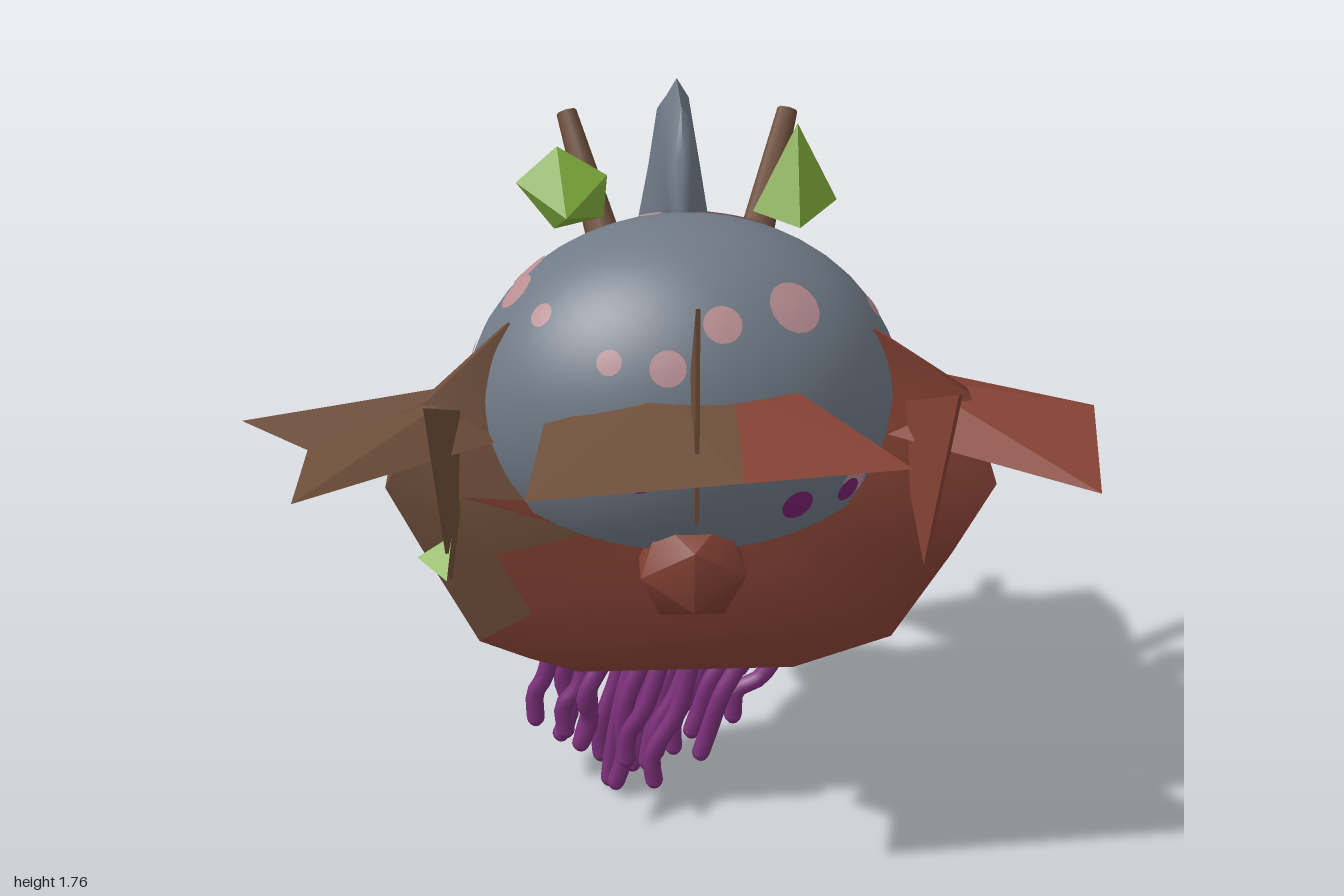
import * as THREE from 'three';
import { toCreasedNormals } from 'three/addons/utils/BufferGeometryUtils.js';
import { ConvexGeometry } from 'three/addons/geometries/ConvexGeometry.js';

const V = (x, y, z) => new THREE.Vector3(x, y, z);

export function createModel() {
  const root = new THREE.Group();
  const mat = (name, color) =>
    Object.assign(new THREE.MeshStandardMaterial({ color, side: THREE.DoubleSide }), { name });
  const brown = mat('bark brown', 0x6e4e3a), rust = mat('rust', 0x844134);
  const grey = mat('slate grey', 0x707a86), spotPink = mat('spot pink', 0xb98e92);
  const skin = mat('skin pink', 0xb8637c), purple = mat('tentacle purple', 0x7c307a);
  const magenta = mat('dark magenta', 0x7a2270), green = mat('leaf green', 0x80ac3c);
  const crimson = mat('crimson', 0x9c2040);

  const add = (name, geo, material, parent = root) => {
    const m = new THREE.Mesh(geo, material);
    m.name = name;
    parent.add(m);
    return m;
  };
  const hullOf = (name, pts, m) => add(name, new ConvexGeometry(pts.map(p => V(...p))), m);
  // blade: points thickened sideways, each by its own half width
  const blade = (name, pts, m) =>
    hullOf(name, pts.flatMap(([x, y, z, t]) => [[x - t, y, z], [x + t, y, z]]), m);
  const stick = (name, a, b, ra, rb, m, sides = 7) => {
    const d = b.clone().sub(a);
    const s = add(name, new THREE.CylinderGeometry(rb, ra, d.length(), sides), m);
    s.position.copy(a).addScaledVector(d, 0.5);
    s.quaternion.setFromUnitVectors(V(0, 1, 0), d.normalize());
  };
  // triangles joining closed rings, with fans on both ends
  const loft = rings => {
    const tris = [], n = rings[0].length;
    for (let r = 0; r < rings.length - 1; r++)
      for (let i = 0; i < n; i++) {
        const j = (i + 1) % n, A = rings[r], B = rings[r + 1];
        tris.push([A[i], A[j], B[j]], [A[i], B[j], B[i]]);
      }
    [rings[0], rings[rings.length - 1]].forEach((ring, e) => {
      const c = ring.reduce((s, p) => s.add(p), V(0, 0, 0)).divideScalar(n);
      ring.forEach((p, i) => {
        const q = ring[(i + 1) % n];
        tris.push(e ? [p, q, c] : [q, p, c]);
      });
    });
    return tris;
  };
  const fromTris = (tris, crease) =>
    toCreasedNormals(new THREE.BufferGeometry().setFromPoints(tris.flat()), crease);

  // shell body: a broad bevelled slab, thin towards the top, brown on one flank
  const outline = [[-.23, .44], [.3, .44], [.54, .52], [.68, .74], [.78, .92], [.71, 1.14], [.48, 1.3],
    [.2, 1.34], [-.15, 1.34], [-.38, 1.33], [-.58, 1.14], [-.68, .94], [-.58, .74], [-.47, .53], [-.35, .48]];
  const levels = [[.01, .35], [.025, .7], [.1, 1], [.23, 1], [.275, .75], [.285, .4]];
  const shell = loft(levels.map(([z, s]) => outline.map(([ox, oy]) => {
    const y = .9 + (oy - .9) * s;
    const k = THREE.MathUtils.clamp(1 - (y - .95) / .3, .15, 1);
    return V(.05 + (ox - .05) * s, y, .18 + (z - .18) * k);
  })));
  const isLeft = t => {
    const c = t[0].clone().add(t[1]).add(t[2]).divideScalar(3);
    return c.z < .1 ? c.x < -.17 : c.x < -.33 && c.y > .58;
  };
  add('shellBody', fromTris(shell.filter(t => !isLeft(t)), 0.9), rust);
  add('shellFlank', fromTris(shell.filter(isLeft), 0.9), brown);

  // mushroom cap, tilted forward, with drooping rim, lip and pleated gills
  const C = V(.04, 1.075, .035), S = V(.53, .48, .43), tilt = 0.49, X = V(1, 0, 0);
  const cap = new THREE.Group();
  cap.name = 'cap';
  cap.position.copy(C);
  cap.rotation.x = tilt;
  root.add(cap);
  add('capDome', new THREE.SphereGeometry(1, 40, 18, 0, Math.PI * 2, 0, Math.PI * .53), grey, cap).scale.copy(S);
  const lip = new THREE.LatheGeometry([[.9956, -.094], [.975, -.1], [.94, -.06]].map(p => new THREE.Vector2(...p)), 40);
  add('capLip', lip, grey, cap).scale.copy(S);
  const gills = new THREE.SphereGeometry(1, 64, 6, 0, Math.PI * 2, 0, Math.PI / 2);
  const gp = gills.attributes.position;
  for (let i = 0; i < gp.count; i++) if (i % 65 % 2) gp.setY(i, gp.getY(i) * 1.25 + 0.06);
  gills.scale(.955 * S.x, .22, .955 * S.z);
  gills.translate(0, -.035, 0);
  add('gills', toCreasedNormals(gills, 0.3), purple, cap);

  // round spots laid on the dome along a viewing axis
  const spot = (o, d, r, m, lift = 1.007) => {
    const toUnit = v => v.applyAxisAngle(X, -tilt).divide(S);
    const a = toUnit(o.sub(C)), b = toUnit(d);
    const A = b.dot(b), B = a.dot(b), D = Math.max(0, B * B - A * (a.dot(a) - 1));
    const hit = a.addScaledVector(b, (-B - Math.sqrt(D)) / A).normalize();
    const n = hit.clone().divide(S).normalize(), p = hit.clone().multiply(S);
    const t = V(0.3, 0.2, 1).cross(n).normalize(), u = n.clone().cross(t);
    const geo = new THREE.RingGeometry(0, r, 16, 3), q = geo.attributes.position;
    for (let i = 0; i < q.count; i++) {
      const v = p.clone().addScaledVector(t, q.getX(i)).addScaledVector(u, q.getY(i))
        .divide(S).normalize().multiply(S).multiplyScalar(lift);
      q.setXYZ(i, v.x, v.y, v.z);
    }
    geo.computeVertexNormals();
    add('capSpot', geo, m, cap);
  };
  for (const [x, y, r] of [[-.15, 1.305, .03], [-.02, 1.3, .042], [.105, 1.385, .045], [.275, 1.4, .065],
    [-.3, 1.37, .03], [-.095, 1.07, .05], [.42, .97, .04], [.28, 1.19, .03]]) spot(V(x, y, 5), V(0, 0, -1), r, spotPink);
  for (const [x, y, r] of [[-.09, 1.045, .038], [.28, .95, .04], [.19, 1.05, .015], [.405, .955, .032]])
    spot(V(x, y, 5), V(0, 0, -1), r, magenta, 1.011);
  for (const [x, z, r] of [[.16, -.1, .095], [-.33, .02, .05], [-.36, .1, .05], [-.04, -.01, .03],
    [-.2, -.18, .08]]) spot(V(x, 5, z), V(0, -1, 0), r, spotPink);
  for (const [z, y, r] of [[-.18, 1.3, .08], [.1, 1.33, .028], [-.01, 1.15, .02]])
    spot(V(5, y, z), V(-1, 0, 0), r, spotPink);
  for (const [z, y, r] of [[-.18, 1.3, .03], [.02, 1.2, .035]]) spot(V(-5, y, z), V(1, 0, 0), r, spotPink);

  // hooked crest: sections run from outer to inner edge, [zOut, yOut, zIn, yIn, halfWidth]
  const crest = [[0, 1.52, -.02, 1.46, .02], [-.07, 1.66, -.1, 1.44, .035], [-.14, 1.76, -.18, 1.4, .042],
    [-.35, 1.785, -.25, 1.3, .05], [-.55, 1.72, -.32, 1.18, .07], [-.58, 1.48, -.42, 1.06, .105],
    [-.66, 1.32, -.53, .98, .09], [-.67, 1, -.6, .88, .05], [-.672, .75, -.65, .74, .015]];
  add('crest', fromTris(loft(crest.map(([z0, y0, z1, y1, w]) =>
    Array.from({ length: 10 }, (_, i) => {
      const a = i / 10 * Math.PI * 2, k = (1 - Math.cos(a)) / 2;
      return V(.04 + Math.sin(a) * w, y0 + (y1 - y0) * k, z0 + (z1 - z0) * k);
    }))), 1.4), grey);
  add('crestTip', new THREE.SphereGeometry(.02, 10, 8), magenta).position.set(.04, .755, -.66);
  stick('crestTwig', V(.04, 1.26, -.58), V(.04, 1.34, -.75), .032, .03, rust);

  // head and face, looking backwards beneath the cap
  add('head', new THREE.SphereGeometry(.2, 28, 20), skin).position.set(.04, .915, 0);
  for (const s of [-1, 1]) {
    add('eye', new THREE.SphereGeometry(.055, 14, 10), brown).position.set(.04 + s * .08, 1.06, -.125);
    const lid = add('eyeRim', new THREE.TorusGeometry(.055, .009, 6, 16, Math.PI), rust);
    lid.position.set(.04 + s * .08, 1.055, -.155);
    lid.rotation.z = Math.PI;
    stick('tearMark', V(.04 + s * .07, .96, -.183), V(.04 + s * .07, .9, -.187), .008, .005, magenta);
  }
  add('mouth', new THREE.TubeGeometry(new THREE.CatmullRomCurve3(
    [V(-.06, .98, -.167), V(.04, .96, -.198), V(.14, .985, -.167)]), 12, .01, 6), rust);
  stick('noseTwig', V(.05, 1.02, -.17), V(.05, 1.15, -.38), .014, .008, brown);

  // tentacles fanning out of the head
  const count = 22;
  for (let i = 0; i < count; i++) {
    const a = i * 2.39996, r = Math.sqrt((i + .6) / count), c = Math.cos(a) * r, s = Math.sin(a) * r;
    const end = .075 + .19 * c * c + .06 * Math.max(0, s) + .045 * Math.sin(i * 5);
    const wave = .015 * Math.sin(i * 3);
    const path = new THREE.CatmullRomCurve3([
      V(.04 + c * .14, .8, c * .01 + s * .12), V(.03 + c * .18, .66, .01 + s * .125),
      V(-.01 + c * .3, .46, .05 + s * .15), V(-.06 + c * .3 + wave, .27 + end * .3, .055 + s * .155),
      V(-.09 + c * .27 - wave, end + .07, .05 + s * .14), V(-.1 + c * .27, end, .05 + s * .135)]);
    add('tentacle', new THREE.TubeGeometry(path, 24, .023, 8), purple);
    add('tentacleTip', new THREE.SphereGeometry(.023, 8, 6), purple).position.copy(path.getPoint(1));
  }

  // soft-edged faceted nose and hanging gem
  const nose = add('nose', toCreasedNormals(new THREE.IcosahedronGeometry(.145, 0), 1), rust);
  nose.position.set(.04, .785, .375);
  nose.scale.z = .8;
  const gem = add('gem', toCreasedNormals(new THREE.IcosahedronGeometry(.168, 0), 1), crimson);
  gem.position.set(.04, .7, -.36);
  gem.rotation.x = .45;

  // front fin: flat plate in two colours with an upright blade
  hullOf('frontFinLeft', [[-.34, 1.12, .755], [.13, 1.135, .714], [-.3, 1.16, .4], [-.03, 1.24, .42],
    [.13, 1.235, .42], [.13, 1.14, .42]], brown);
  hullOf('frontFinRight', [[.13, 1.135, .714], [.5, 1.15, .685], [.13, 1.235, .42], [.28, 1.23, .42],
    [.32, 1.17, .4], [.13, 1.14, .42]], rust);
  blade('frontBlade', [[.035, 1.5, .62, .005], [.035, 1, .62, .005], [.035, 1.25, .4, .005]], brown);

  // side fins with upright blades
  hullOf('sideFinBrown', [[-.53, 1.1, .05], [-1, 1.125, .255], [-.82, 1.08, .36], [-.4, 1.06, .24], [-.5, 1.16, .13]], brown);
  hullOf('sideFinBrown', [[-.53, 1.1, .1], [-.84, 1.09, .33], [-.86, 1.04, .555], [-.4, 1.06, .24], [-.5, 1.15, .15]], brown);
  hullOf('sideFinRust', [[.56, 1.12, -.09], [1, 1.12, .235], [.95, 1.03, .56], [.48, 1.06, .22], [.58, 1.15, .1]], rust);
  blade('sideBladeBrown', [[-.56, 1.24, .5, .004], [-.525, .77, .38, .004], [-.52, 1.08, .1, .045]], brown);
  blade('sideBladeRust', [[.63, 1.25, .5, .004], [.59, .78, .38, .004], [.58, 1.1, .14, .045]], rust);

  // horn twigs and leaves
  stick('hornTwig', V(-.14, 1.4, -.16), V(-.235, 1.71, -.32), .045, .026, brown);
  stick('hornTwig', V(.22, 1.4, -.16), V(.315, 1.71, -.32), .045, .026, brown);
  hullOf('leaf', [[-.36, 1.59, -.1], [-.26, 1.67, -.13], [-.14, 1.6, -.12], [-.15, 1.5, -.11], [-.27, 1.48, -.08],
    [-.24, 1.52, -.02], [-.26, 1.6, -.19]], green);
  hullOf('leaf', [[.32, 1.72, -.13], [.21, 1.52, -.07], [.42, 1.53, -.13], [.32, 1.49, -.02], [.3, 1.52, -.18]], green);
  hullOf('smallLeaf', [[-.6, .83, .39], [-.52, .87, .36], [-.53, .8, .46], [-.53, .83, .35]], green);
  hullOf('smallLeaf', [[-.64, .86, -.1], [-.53, .9, -.14], [-.57, .925, -.02], [-.57, .89, -.07]], green);
  hullOf('smallLeaf', [[.67, .95, -.16], [.71, .86, -.06], [.64, .91, -.05], [.67, .89, -.09]], green);
  return root;
}
